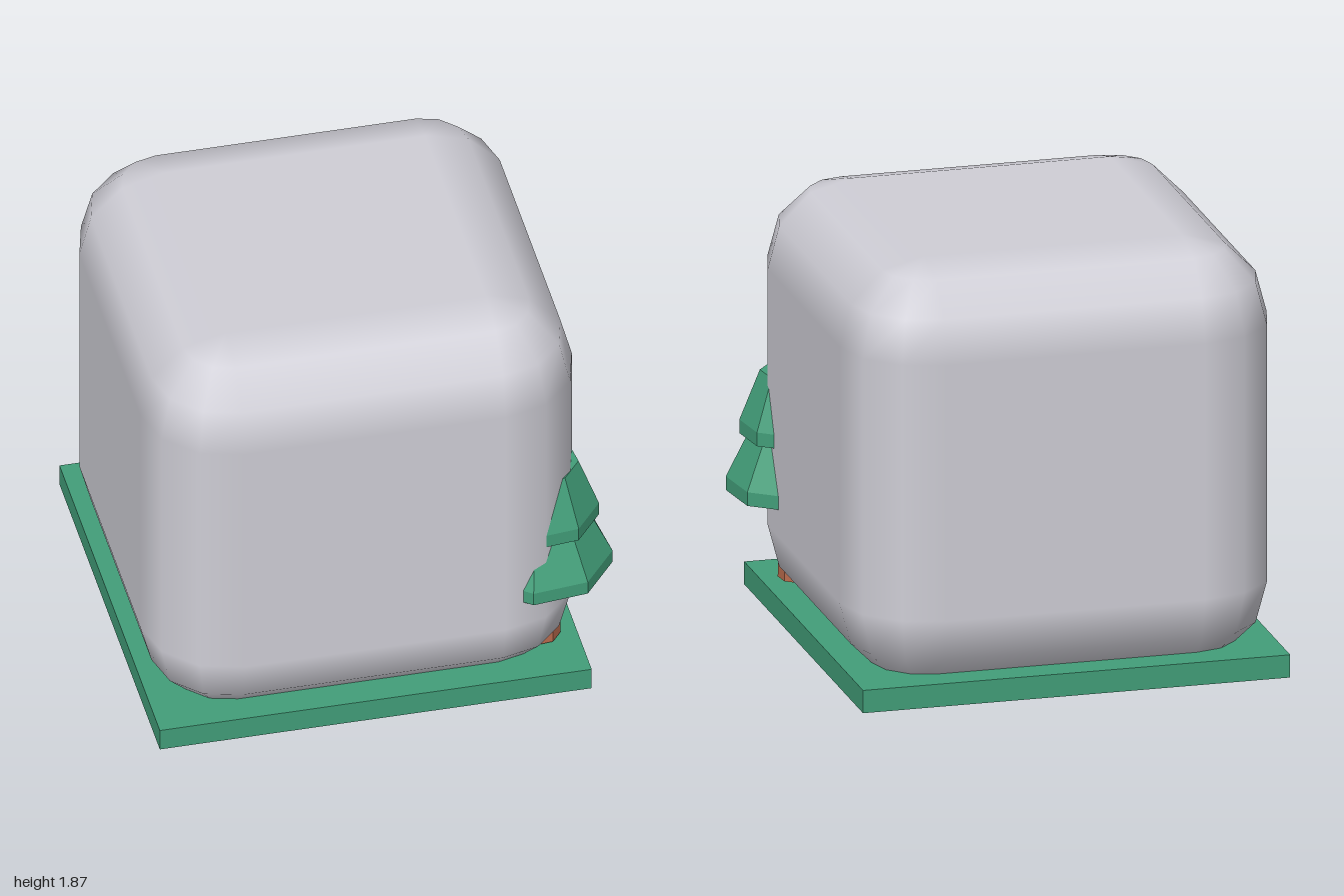
import * as THREE from 'three';

const mat = (name, color, flatShading = false) =>
  new THREE.MeshStandardMaterial({ name, color, flatShading });

// Box whose edges and corners are rounded in three 30 degree steps.
function roundedBlock(w, h, d, r) {
  const geo = new THREE.PlaneGeometry(1, 1, 16, 9);
  const pos = geo.attributes.position, nor = geo.attributes.normal;
  const n = new THREE.Vector3();
  for (let row = 0; row <= 9; row++) {
    const pole = row === 0 || row === 9; // cap centres
    const lower = row >= 5;
    const step = THREE.MathUtils.clamp(row - 1, 0, 7);
    const phi = (lower ? step - 1 : step) * Math.PI / 6;
    for (let col = 0; col <= 16; col++) {
      const quad = Math.floor(col / 4) % 4;
      const theta = (quad * 3 + (col % 4)) * Math.PI / 6;
      n.set(Math.sin(phi) * Math.cos(theta), Math.cos(phi), -Math.sin(phi) * Math.sin(theta));
      // PlaneGeometry winding faces outward when theta turns from +x towards -z
      const sx = quad === 0 || quad === 3 ? 1 : -1;
      const sz = quad < 2 ? -1 : 1;
      const sy = lower ? -1 : 1;
      const i = row * 17 + col;
      pos.setXYZ(i,
        pole ? 0 : sx * (w / 2 - r) + n.x * r,
        sy * (h / 2 - r) + n.y * r,
        pole ? 0 : sz * (d / 2 - r) + n.z * r);
      nor.setXYZ(i, n.x, n.y, n.z);
    }
  }
  return geo;
}

export function createModel() {
  const model = new THREE.Group();
  model.name = 'blockWithTree';
  const grey = mat('stoneGrey', 0xcfced6);
  const green = mat('leafGreen', 0x429e79, true);
  const brown = mat('barkBrown', 0xb86b4d, true);

  const add = (parent, name, geo, material, x, y, z) => {
    const mesh = new THREE.Mesh(geo, material);
    mesh.name = name;
    mesh.position.set(x, y, z);
    parent.add(mesh);
    return mesh;
  };

  // Ground slab and the large rounded block
  add(model, 'groundSlab', new THREE.BoxGeometry(1.86, 0.1, 1.865), green, -0.07, 0.05, -0.003);
  add(model, 'roundedBlock', roundedBlock(1.86, 1.866, 1.865, 0.37), grey, -0.07, 0.936, -0.003);

  // Eight-sided tree, half sunk into the block's corner
  const tree = new THREE.Group();
  tree.name = 'tree';
  tree.position.set(0.695, 0, 0.635);
  model.add(tree);
  const ring = (name, rTop, rBottom, y0, y1, material) =>
    add(tree, name,
      new THREE.CylinderGeometry(rTop, rBottom, y1 - y0, 8, 1, false, THREE.MathUtils.degToRad(29)),
      material, 0, (y0 + y1) / 2, 0);

  ring('trunk', 0.09, 0.097, 0.11, 0.49, brown);
  ring('lowerTierRim', 0.315, 0.315, 0.49, 0.55, green);
  ring('lowerTierSlope', 0.222, 0.315, 0.55, 0.74, green);
  ring('upperTierRim', 0.258, 0.258, 0.74, 0.8, green);
  ring('upperTierSlope', 0.172, 0.258, 0.8, 1.02, green);
  return model;
}
